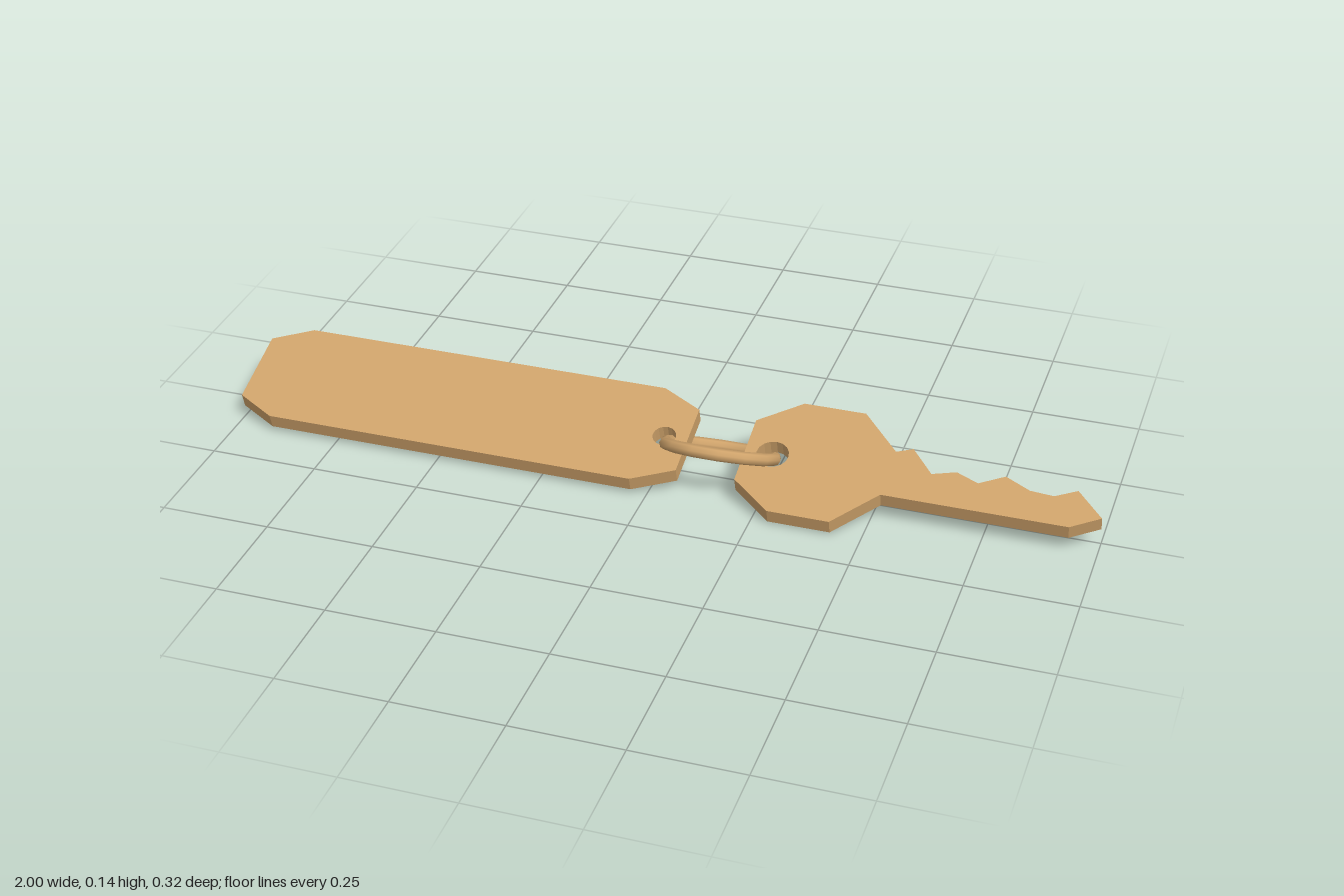
import * as THREE from 'three';

const PLATE_TILT = 0.312;
const RING_TILT = 0.49;
const THICKNESS = 0.036;
const MID_Y = 0.0735;

const material = new THREE.MeshStandardMaterial({ color: 0xcfa36b });

// Flat plate from an outline of [x, across] points, with one round hole
function plate(name, outline, holeX, holeRadius) {
  const shape = new THREE.Shape(outline.map(([x, y]) => new THREE.Vector2(x, y)));
  const hole = new THREE.Path();
  hole.absarc(holeX, 0, holeRadius, 0, Math.PI * 2, true);
  shape.holes.push(hole);
  const geometry = new THREE.ExtrudeGeometry(shape, {
    depth: THICKNESS, bevelEnabled: false, curveSegments: 8,
  });
  geometry.translate(0, 0, -THICKNESS / 2);
  geometry.rotateX(-Math.PI / 2 + PLATE_TILT);
  const mesh = new THREE.Mesh(geometry, material);
  mesh.name = name;
  mesh.position.y = MID_Y;
  return mesh;
}

export function createModel() {
  const group = new THREE.Group();
  group.name = 'keyWithTag';

  // Long tag with clipped corners
  const tagSide = [[-1, 0.092], [-0.91, 0.139], [-0.035, 0.139], [0.06, 0.092]];
  const mirrored = tagSide.map(([x, y]) => [x, -y]);
  group.add(plate('tag', [...mirrored, ...tagSide.reverse()], 0.005, 0.027));

  // Key: angular head, straight lower edge, toothed upper edge
  group.add(plate('key', [
    [0.195, -0.089], [0.289, -0.161], [0.43, -0.161], [0.52, -0.062],
    [0.936, -0.062], [1, -0.023], [0.936, 0.042],
    [0.888, 0.016], [0.834, 0.02], [0.775, 0.048], [0.72, 0.016],
    [0.668, 0.037], [0.615, 0.02], [0.56, 0.082], [0.524, 0.066],
    [0.432, 0.161], [0.289, 0.161], [0.195, 0.089],
  ], 0.258, 0.037));

  // Ring through both holes, tilted against the plates
  const ringGeometry = new THREE.TorusGeometry(0.126, 0.0145, 8, 14);
  ringGeometry.rotateX(Math.PI / 2 - RING_TILT);
  const ring = new THREE.Mesh(ringGeometry, material);
  ring.name = 'ring';
  ring.position.set(0.135, MID_Y, 0);
  group.add(ring);

  return group;
}
